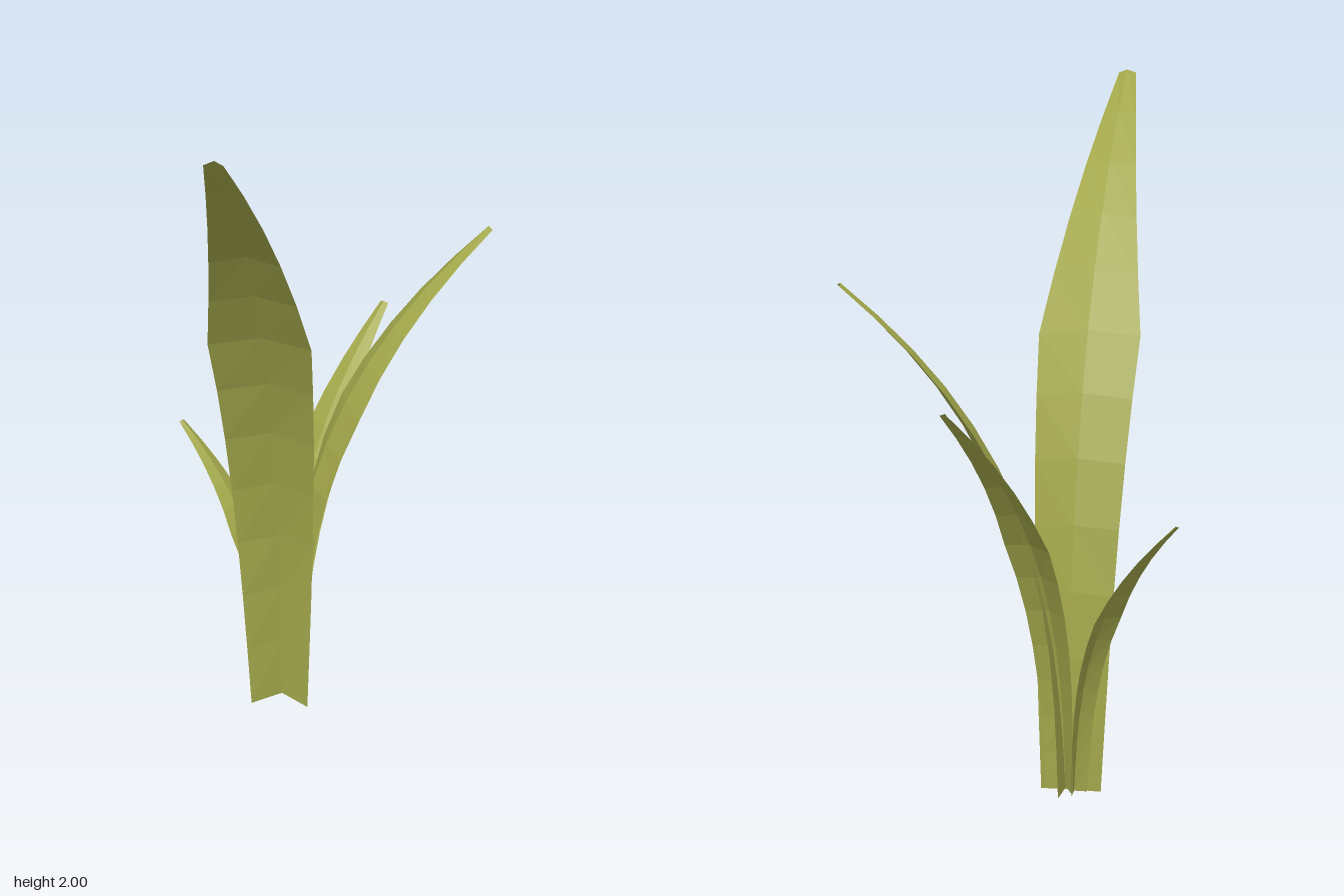
import * as THREE from 'three';

const SEGMENTS = 12;
const BEND = 7 / 12; // where a leaf is widest, as a share of its length

// Side profile of a full-size leaf: x is the outward reach, y the height
const profile = new THREE.SplineCurve(
  Array.from({ length: 13 }, (_, i) => {
    const y = (1.993 * i) / 12;
    return new THREE.Vector2(0.04 * y + 0.094 * y ** 3, y);
  })
);

function halfWidth(t) {
  return t < BEND
    ? THREE.MathUtils.lerp(0.086, 0.147, t / BEND)
    : THREE.MathUtils.lerp(0.147, 0.026, (t - BEND) / (1 - BEND));
}

// A folded blade in local axes: grows outward along +z, ridge on the inner side
function leafGeometry() {
  const positions = [];
  const index = [];
  for (let i = 0; i <= SEGMENTS; i++) {
    const t = i / SEGMENTS;
    const p = profile.getPointAt(t);
    const dir = profile.getTangentAt(t);
    const w = halfWidth(t);
    const fold = THREE.MathUtils.lerp(0.047, 0.013, t);
    const lift = 0.014 * (1 - t);
    positions.push(-w, p.y, p.x);
    positions.push(0, p.y + dir.x * fold + lift, p.x - dir.y * fold);
    positions.push(w, p.y, p.x);
    if (i === SEGMENTS) break;
    for (let k = 0; k < 2; k++) {
      const a = i * 3 + k;
      index.push(a, a + 1, a + 4, a, a + 4, a + 3);
    }
  }
  const geometry = new THREE.BufferGeometry();
  geometry.setAttribute('position', new THREE.Float32BufferAttribute(positions, 3));
  geometry.setIndex(index);
  geometry.computeVertexNormals();
  return geometry;
}

export function createModel() {
  const plant = new THREE.Group();
  plant.name = 'leafyPlant';
  const material = new THREE.MeshStandardMaterial({
    color: 0xa3a84b,
    flatShading: true,
    side: THREE.DoubleSide,
  });
  const geometry = leafGeometry();

  // Each leaf: base position, ground point under the tip, size
  const leaves = [
    { name: 'tallFrontLeaf', base: [-0.2, 0, -0.195], tip: [-0.435, 0.595], size: 1 },
    { name: 'leftLeaf', base: [-0.145, 0.015, -0.265], tip: [0.455, -0.33], size: 0.724 },
    { name: 'backLeftLeaf', base: [-0.16, 0.02, -0.277], tip: [0.18, -0.597], size: 0.562 },
    { name: 'smallBackRightLeaf', base: [-0.215, 0.015, -0.288], tip: [-0.455, -0.525], size: 0.403 },
  ];
  for (const { name, base, tip, size } of leaves) {
    const leaf = new THREE.Mesh(geometry, material);
    leaf.name = name;
    leaf.position.set(...base);
    leaf.rotation.y = Math.atan2(tip[0] - base[0], tip[1] - base[2]);
    leaf.scale.setScalar(size);
    plant.add(leaf);
  }
  return plant;
}
